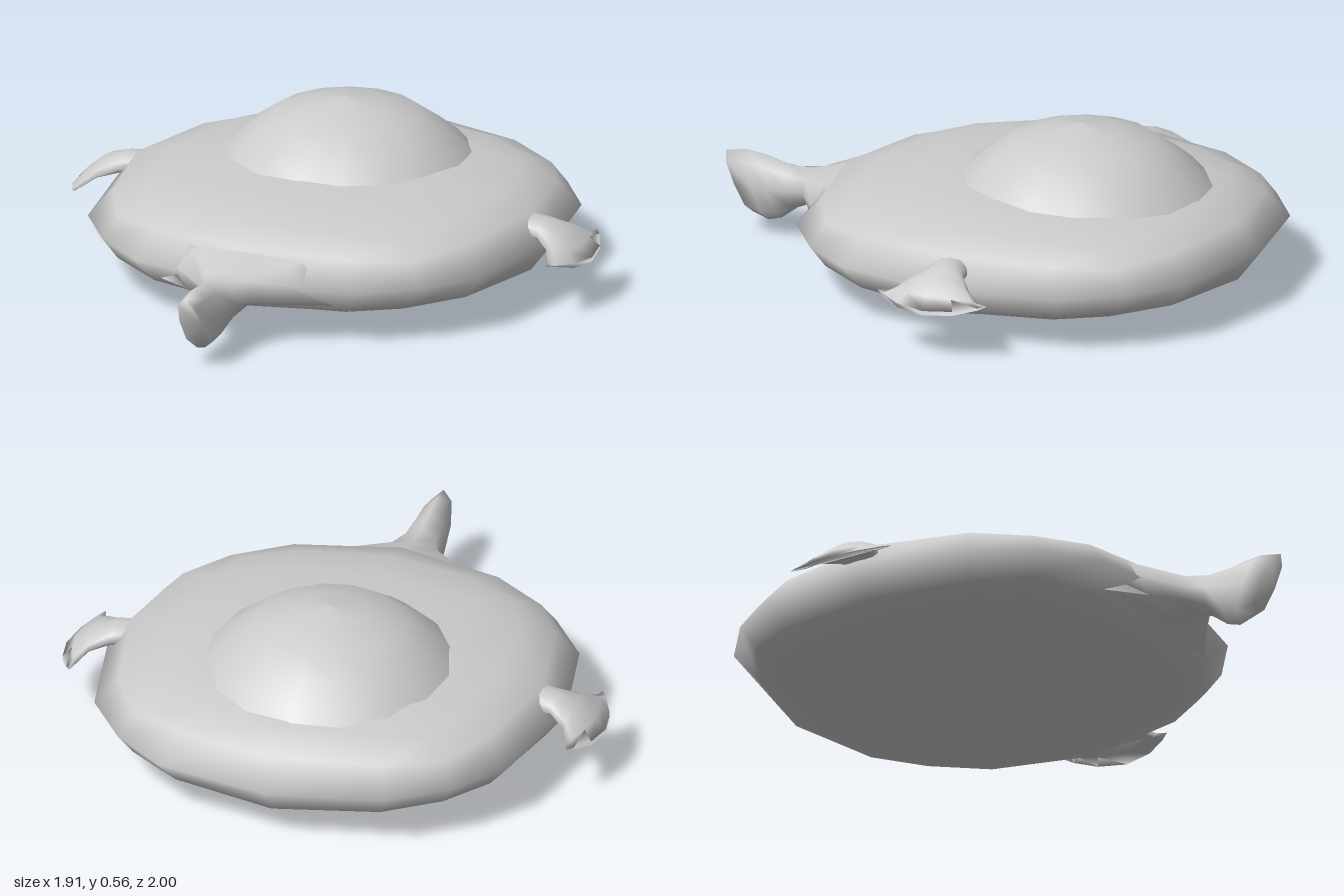
import * as THREE from 'three';
import { mergeVertices } from 'three/addons/utils/BufferGeometryUtils.js';

const grey = new THREE.MeshStandardMaterial({ color: 0xcccccc });

function mesh(name, geometry) {
  const m = new THREE.Mesh(geometry, grey);
  m.name = name;
  return m;
}

// Skin a list of equal-length rings and close both ends
function loft(rings, flip = false) {
  const n = rings[0].length, index = [];
  const points = rings.flat();
  const tri = (a, b, c) => (flip ? index.push(a, c, b) : index.push(a, b, c));
  for (let i = 0; i < rings.length - 1; i++) {
    for (let j = 0; j < n; j++) {
      const a = i * n + j, b = i * n + (j + 1) % n;
      tri(a, b, b + n);
      tri(a, b + n, a + n);
    }
  }
  const last = (rings.length - 1) * n;
  for (let j = 1; j < n - 1; j++) {
    tri(0, j + 1, j);
    tri(last, last + j, last + j + 1);
  }
  const g = new THREE.BufferGeometry().setFromPoints(points);
  g.setIndex(index);
  g.computeVertexNormals();
  return g;
}

// Flattened sphere made from a subdivided cube
function bodyGeometry() {
  let g = new THREE.BoxGeometry(2, 2, 2, 4, 4, 4);
  g.deleteAttribute('normal');
  g.deleteAttribute('uv');
  g = mergeVertices(g);
  const p = g.attributes.position, v = new THREE.Vector3();
  const spread = t => (Math.abs(t) > 0.1 && Math.abs(t) < 0.9 ? Math.sign(t) * 0.55 : t);
  for (let i = 0; i < p.count; i++) {
    v.fromBufferAttribute(p, i).set(spread(v.x), spread(v.y), spread(v.z));
    const onAxis = v.length() < 1.01;
    v.normalize().multiplyScalar(onAxis ? 0.81 : 0.835);
    p.setXYZ(i, v.x, 0.205 + v.y * 0.25, v.z - 0.19);
  }
  g.computeVertexNormals();
  return g;
}

// Tail: each section is [top z, top y, bottom z, bottom y, half width]
function tailGeometry() {
  const sections = [
    [0.34, 0.35, 0.52, 0.10, 0.42],
    [0.54, 0.30, 0.60, 0.125, 0.23],
    [0.67, 0.26, 0.66, 0.14, 0.10],
    [0.75, 0.258, 0.73, 0.11, 0.07],
    [0.84, 0.28, 0.79, 0.065, 0.056],
    [0.92, 0.29, 0.84, 0.05, 0.052],
    [1.0, 0.275, 0.90, 0.07, 0.042],
  ];
  return loft(sections.map(([tz, ty, bz, by, w]) =>
    Array.from({ length: 8 }, (_, k) => {
      const a = k * Math.PI / 4, c = Math.cos(a), s = Math.sin(a);
      const f = (1 + s) / 2;
      return new THREE.Vector3(
        Math.sign(c) * Math.pow(Math.abs(c), 0.7) * w,
        THREE.MathUtils.lerp(by, ty, f),
        THREE.MathUtils.lerp(bz, tz, f));
    })));
}

// Side fin: each section is [x, y, half length, half thickness, sweep, tip lift]
function finGeometry(side) {
  const sections = [
    [0.70, 0.26, 0.07, 0.045, 0, 0],
    [0.78, 0.262, 0.07, 0.035, 0, -0.01],
    [0.86, 0.245, 0.12, 0.025, 0.02, -0.015],
    [0.92, 0.205, 0.17, 0.015, 0.05, 0],
    [0.955, 0.172, 0.205, 0.008, 0.075, 0.03],
  ];
  return loft(sections.map(([x, y, len, thick, sweep, lift]) =>
    Array.from({ length: 12 }, (_, k) => {
      const a = k * Math.PI / 6, c = Math.cos(a);
      return new THREE.Vector3(
        side * (x - sweep * c * c),
        y + lift * c * c + thick * Math.sin(a),
        -0.2 + len * c);
    })), side > 0);
}

export function createModel() {
  const model = new THREE.Group();
  model.name = 'saucerCreature';

  model.add(mesh('body', bodyGeometry()));
  model.add(mesh('tail', tailGeometry()));

  // Dome, set slightly off centre
  const profile = [[0.45, 0.34], [0.395, 0.402], [0.33, 0.455], [0.25, 0.51], [0.13, 0.547], [0, 0.567]];
  const dome = mesh('dome', new THREE.LatheGeometry(profile.map(([r, y]) => new THREE.Vector2(r, y)), 16));
  dome.position.set(-0.018, 0, -0.328);
  model.add(dome);

  for (const side of [1, -1]) {
    model.add(mesh(side > 0 ? 'leftFin' : 'rightFin', finGeometry(side)));
  }
  return model;
}
